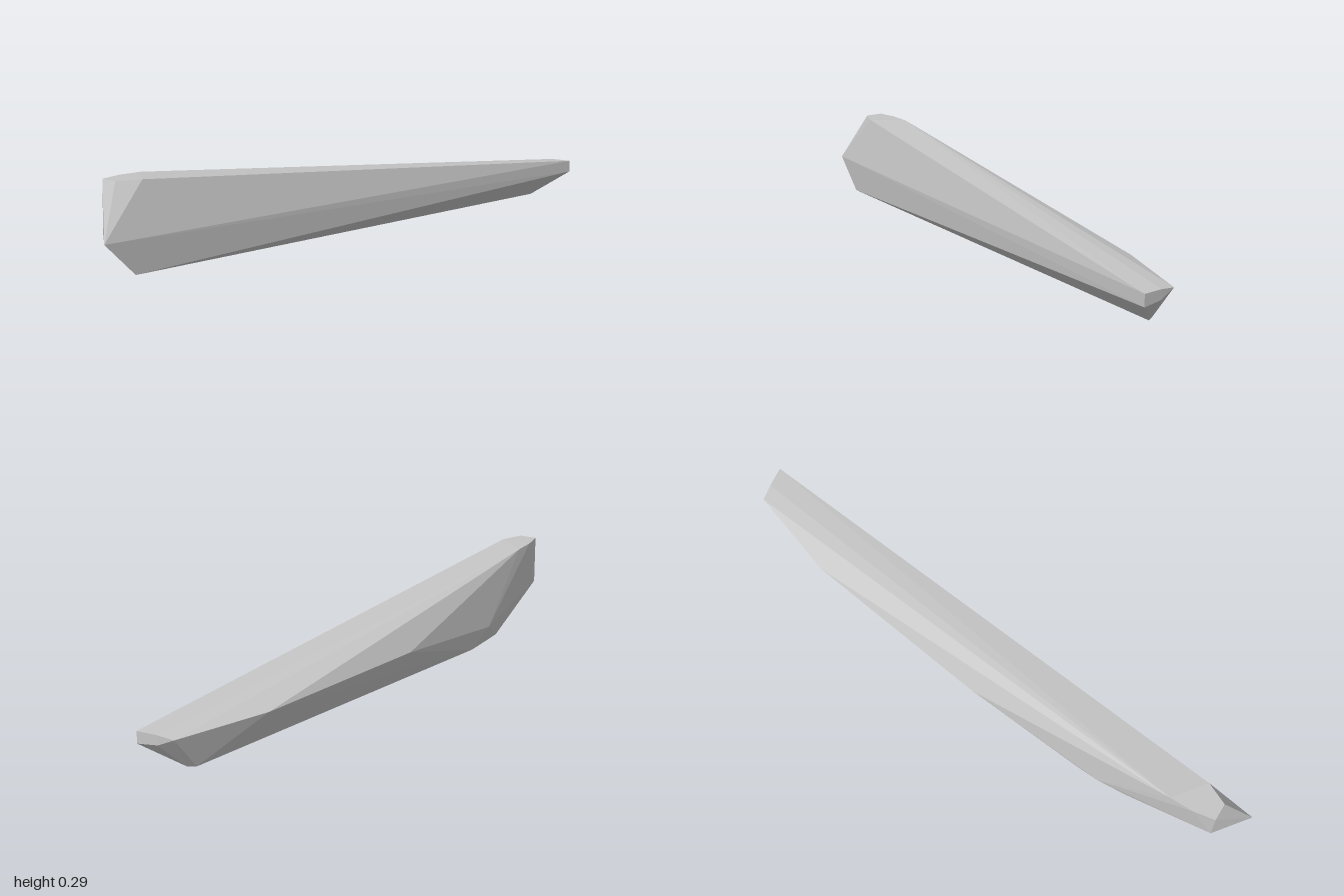
import * as THREE from 'three';
import { ConvexGeometry } from 'three/addons/geometries/ConvexGeometry.js';

export function createModel() {
  const group = new THREE.Group();
  group.name = 'taperedStone';
  const stone = new THREE.MeshStandardMaterial({ color: 0xc4c4c4, flatShading: true });
  stone.name = 'stone grey';

  // Corner points of the chipped stone, grouped by region
  const thickEnd = [[-1, 0.12, -0.052], [-0.91, 0.12, -0.168], [-0.89, 0.01, -0.045]];
  const topFacet = [
    [-0.905, 0.288, -0.11], [-0.83, 0.288, -0.075],
    [-0.905, 0.288, -0.17], [-0.83, 0.288, -0.182], [-0.75, 0.286, -0.18],
  ];
  const back = [[-0.5, 0.065, -0.19], [0, 0.12, -0.155], [0.67, 0.122, -0.05]];
  const base = [[-0.6, 0.002, -0.168], [-0.42, 0, -0.167], [0.89, 0.003, 0.06], [0.905, 0.003, 0.085]];
  const thinEnd = [
    [1, 0.128, 0.19], [1, 0.088, 0.19], [0.993, 0.127, 0.12],
    [0.993, 0.095, 0.12], [0.985, 0.12, 0.065],
  ];

  const points = [thickEnd, topFacet, back, base, thinEnd].flat()
    .map((p) => new THREE.Vector3(...p));
  const body = new THREE.Mesh(new ConvexGeometry(points), stone);
  body.name = 'stoneBody';
  group.add(body);
  return group;
}
